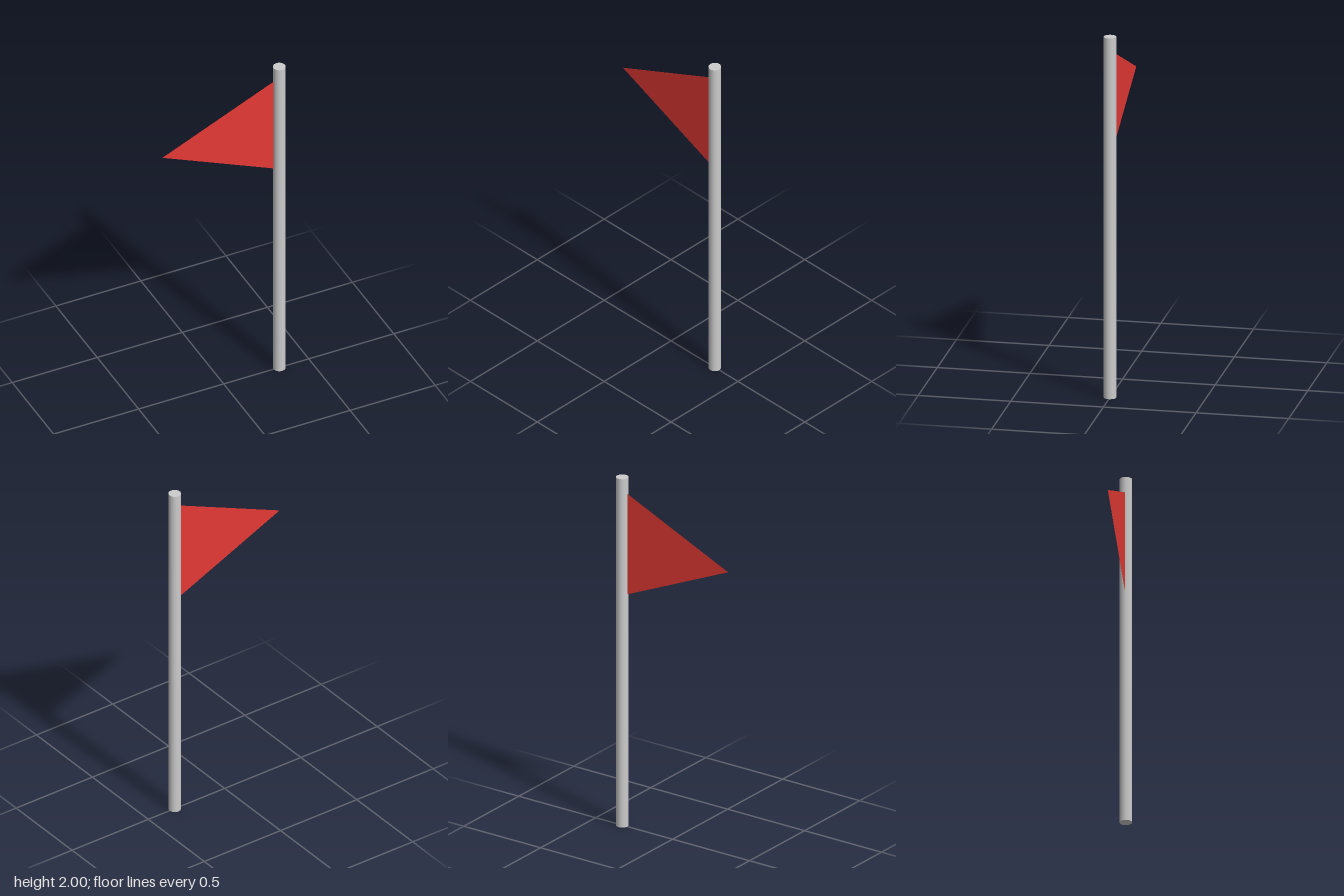
import * as THREE from 'three';

const POLE_X = 0.327;
const POLE_RADIUS = 0.0335;
const HEIGHT = 2;

export function createModel() {
  const model = new THREE.Group();
  model.name = 'pennantOnPole';

  // Smooth round pole with flat capped ends
  const pole = new THREE.Mesh(
    new THREE.CylinderGeometry(POLE_RADIUS, POLE_RADIUS, HEIGHT, 32),
    new THREE.MeshStandardMaterial({ color: 0xcccccc })
  );
  pole.name = 'pole';
  pole.position.set(POLE_X, HEIGHT / 2, 0);
  model.add(pole);

  // Thin triangular pennant, its hoist edge on the pole's axis
  const outline = new THREE.Shape([
    new THREE.Vector2(POLE_X, 1.925),
    new THREE.Vector2(-0.3605, 1.622),
    new THREE.Vector2(POLE_X, 1.319),
  ]);
  const pennant = new THREE.Mesh(
    new THREE.ShapeGeometry(outline),
    new THREE.MeshStandardMaterial({ color: 0xe53935, side: THREE.DoubleSide })
  );
  pennant.name = 'pennant';
  model.add(pennant);

  return model;
}
